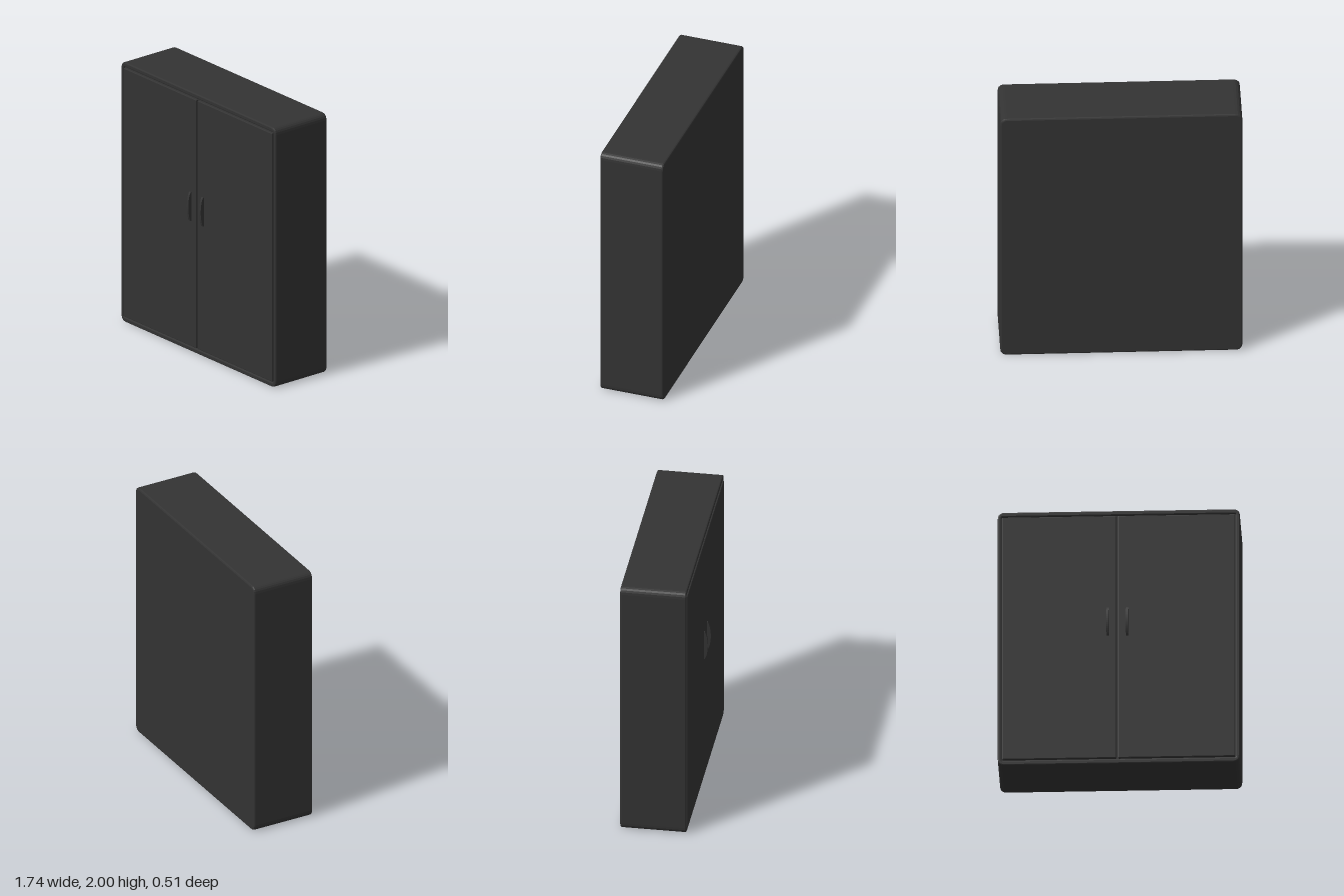
import * as THREE from 'three';

const material = new THREE.MeshStandardMaterial({ color: 0x333333 });

// Rounded rectangle centred on the origin, drawn into a Shape or Path
function roundRect(target, w, h, r) {
  const x = w / 2, y = h / 2;
  target.moveTo(-x + r, -y);
  target.lineTo(x - r, -y);
  target.quadraticCurveTo(x, -y, x, -y + r);
  target.lineTo(x, y - r);
  target.quadraticCurveTo(x, y, x - r, y);
  target.lineTo(-x + r, y);
  target.quadraticCurveTo(-x, y, -x, y - r);
  target.lineTo(-x, -y + r);
  target.quadraticCurveTo(-x, -y, -x + r, -y);
  return target;
}

// Extrusion between two depths whose bevel stays inside the outline
function slab(shape, z0, z1, bevel) {
  const geometry = new THREE.ExtrudeGeometry(shape, {
    depth: z1 - z0 - 2 * bevel, bevelEnabled: bevel > 0, bevelSize: bevel,
    bevelThickness: bevel, bevelOffset: -bevel, bevelSegments: 2, curveSegments: 5,
  });
  return geometry.translate(0, 0, z0 + bevel);
}

export function createModel() {
  const group = new THREE.Group();
  const add = (name, geometry, x, y) => {
    const mesh = new THREE.Mesh(geometry, material);
    mesh.name = name;
    mesh.position.set(x, y, 0);
    group.add(mesh);
  };

  // Cabinet body, closed at the back
  add('body', slab(roundRect(new THREE.Shape(), 1.74, 2, 0.05), -0.255, 0.21, 0.012), 0, 1);

  // Raised rim around the doors
  const rim = roundRect(new THREE.Shape(), 1.74, 2, 0.05);
  rim.holes.push(roundRect(new THREE.Path(), 1.685, 1.93, 0.01));
  add('frontRim', slab(rim, 0.19, 0.225, 0.008), 0, 1);

  // Two doors with a narrow gap, and a bowed handle on each
  const gapX = -0.01;
  for (const side of [-1, 1]) {
    const name = side > 0 ? 'left' : 'right';
    const inner = gapX + side * 0.007, outer = side * 0.835;
    const door = roundRect(new THREE.Shape(), Math.abs(outer - inner), 1.915, 0.006);
    add(name + 'Door', slab(door, 0.2, 0.231, 0.005), (inner + outer) / 2, 1);

    // Handle profile: x is the reach out from the door, y is the height
    const profile = new THREE.Shape();
    profile.moveTo(0, -0.112);
    profile.lineTo(0.012, -0.11);
    profile.bezierCurveTo(0.04, -0.06, 0.04, 0.06, 0.012, 0.11);
    profile.lineTo(0, 0.112);
    const handle = new THREE.ExtrudeGeometry(profile, {
      depth: 0.018, bevelEnabled: false, curveSegments: 16,
    });
    handle.translate(0, 0, -0.009).rotateY(-Math.PI / 2).translate(0, 0, 0.227);
    add(name + 'Handle', handle, gapX + side * 0.07, 1.12);
  }
  return group;
}
